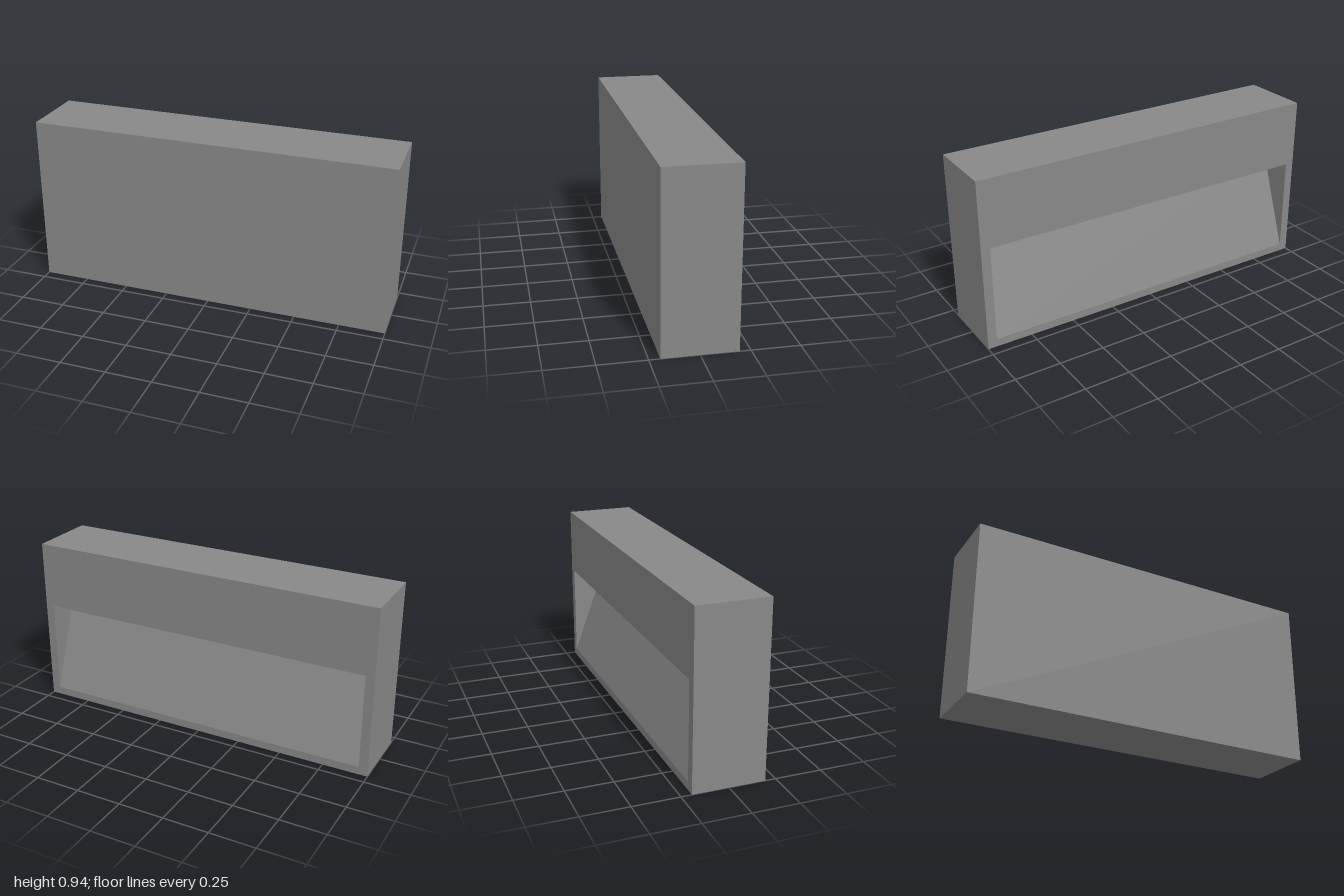
import * as THREE from 'three';

const W = 1, H = 0.944, D = 0.194;       // half width, height, half depth
const A = 0.95, LOW = 0.044, TOP = 0.573; // recess half width, lower and upper edge

export function createModel() {
  const group = new THREE.Group();
  const material = new THREE.MeshStandardMaterial({ color: 0x888888 });

  const add = (name, geometry) => {
    const mesh = new THREE.Mesh(geometry, material);
    mesh.name = name;
    group.add(mesh);
    return mesh;
  };

  // Flat outer panel, turned to face outwards
  const panel = (name, w, h, pos, rx, ry) => {
    const mesh = add(name, new THREE.PlaneGeometry(w, h));
    mesh.position.set(...pos);
    mesh.rotation.set(rx, ry, 0);
  };
  panel('frontPanel', 2 * W, H, [0, H / 2, D], 0, 0);
  panel('topPanel', 2 * W, 2 * D, [0, H, 0], -Math.PI / 2, 0);
  panel('bottomPanel', 2 * W, 2 * D, [0, 0, 0], Math.PI / 2, 0);
  panel('leftPanel', 2 * D, H, [W, H / 2, 0], 0, Math.PI / 2);
  panel('rightPanel', 2 * D, H, [-W, H / 2, 0], 0, -Math.PI / 2);

  // Back frame with the rectangular recess opening
  const rect = (x, y0, y1) => [[-x, y0], [x, y0], [x, y1], [-x, y1]].map(p => new THREE.Vector2(...p));
  const frame = new THREE.Shape(rect(W, 0, H));
  frame.holes.push(new THREE.Path(rect(A, LOW, TOP)));
  add('backFrame', new THREE.ShapeGeometry(frame).rotateY(Math.PI).translate(0, 0, -D));

  // Flat face from a fan of corners, counter-clockwise from the visible side
  const face = (name, ...corners) => {
    const geometry = new THREE.BufferGeometry().setFromPoints(corners.map(c => new THREE.Vector3(...c)));
    geometry.setIndex(corners.length === 4 ? [0, 1, 2, 0, 2, 3] : [0, 1, 2]);
    geometry.computeVertexNormals();
    add(name, geometry);
  };

  // Wedge-shaped recess: deep at the top, running out at the lower edge
  const lip = x => [x, LOW, -D], outer = x => [x, TOP, -D], inner = x => [x, TOP, 0];
  face('recessSlope', lip(A), lip(-A), inner(-A), inner(A));
  face('recessCeiling', outer(A), inner(A), inner(-A), outer(-A));
  face('recessLeftWall', lip(A), inner(A), outer(A));
  face('recessRightWall', lip(-A), outer(-A), inner(-A));

  return group;
}
